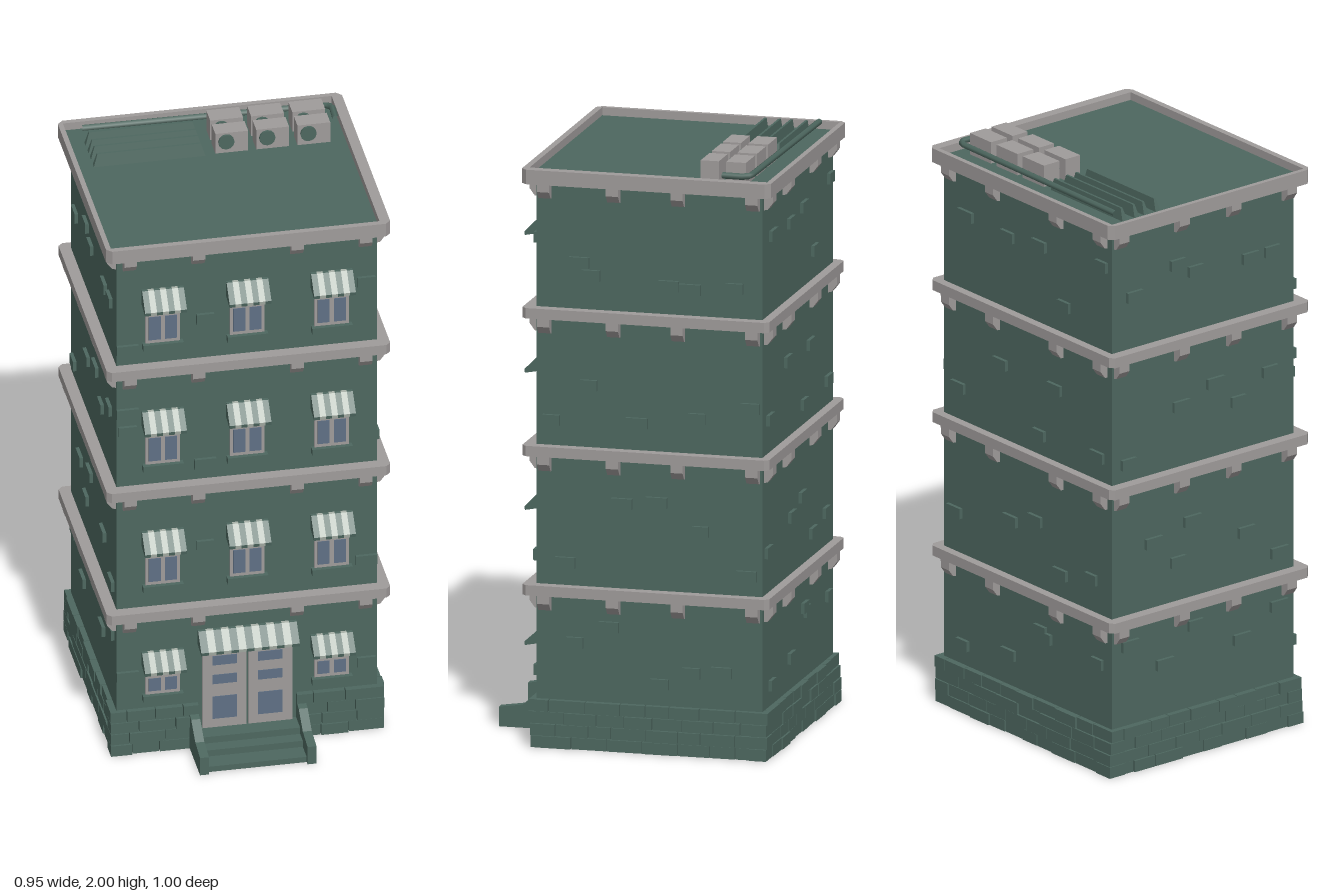
import * as THREE from 'three';

export function createModel() {
  const root = new THREE.Group();
  root.name = 'apartmentBuilding';
  const mat = (name, color) => Object.assign(new THREE.MeshStandardMaterial({ color }), { name });
  const green = mat('wallGreen', 0x4d675f);
  const grey = mat('stoneGrey', 0x9f9b9a);
  const glass = mat('windowBlue', 0x5f7085);
  const pale = mat('awningPale', 0xa9b2a9);

  let seed = 7;
  const rnd = () => (seed = (seed * 16807) % 2147483647) / 2147483647;

  const add = (parent, name, geo, m) => {
    const mesh = new THREE.Mesh(geo, m);
    mesh.name = name;
    parent.add(mesh);
    return mesh;
  };
  const box = (parent, name, m, x0, x1, y0, y1, z0, z1) => {
    const mesh = add(parent, name, new THREE.BoxGeometry(x1 - x0, y1 - y0, z1 - z0), m);
    mesh.position.set((x0 + x1) / 2, (y0 + y1) / 2, (z0 + z1) / 2);
    return mesh;
  };
  const poly = pts => new THREE.Shape(pts.map(p => new THREE.Vector2(...p)));
  // Extrude a (depth, height) profile sideways: depth becomes z, width runs along x from x0 to x1
  const prism = (parent, name, m, pts, x0, x1) => {
    const geo = new THREE.ExtrudeGeometry(poly(pts), { depth: x1 - x0, bevelEnabled: false });
    geo.rotateY(-Math.PI / 2);
    geo.translate(x1, 0, 0);
    return add(parent, name, geo, m);
  };
  // Horizontal slab from an (x, -z) outline
  const slab = (name, m, shape, y0, y1) => {
    const geo = new THREE.ExtrudeGeometry(shape, { depth: y1 - y0, bevelEnabled: false });
    geo.rotateX(-Math.PI / 2);
    geo.translate(0, y0, 0);
    return add(root, name, geo, m);
  };
  const rect = (x0, x1, z0, z1, c = 0) => [
    [x0 + c, -z1], [x1 - c, -z1], [x1, -z1 + c], [x1, -z0 - c],
    [x1 - c, -z0], [x0 + c, -z0], [x0, -z0 - c], [x0, -z1 + c]];

  const W = 0.437, D = 0.385, ZC = -0.08, FRONT = ZC + D;

  // Walls: hollow ground floor, solid upper floors
  const shell = poly([[-W, -FRONT], [W, -FRONT], [W, D - ZC], [-W, D - ZC]]);
  const hollow = new THREE.Path();
  hollow.moveTo(-W + 0.03, -FRONT + 0.03).lineTo(-W + 0.03, D - ZC - 0.03)
    .lineTo(W - 0.03, D - ZC - 0.03).lineTo(W - 0.03, -FRONT + 0.03).closePath();
  shell.holes.push(hollow);
  slab('groundFloorWalls', green, shell, 0, 0.52);
  box(root, 'upperWalls', green, -W, W, 0.52, 1.91, ZC - D, FRONT);
  box(root, 'roofDeck', green, -0.462, 0.445, 1.905, 1.925, -0.484, 0.332);

  // Floor cornices and the roof parapet
  const ledge = [1.02, 1.485, 0.55];
  ledge.forEach(y => slab('floorCornice', grey,
    poly(rect(-0.475, 0.475, -0.495, 0.347, 0.015)), y - 0.035, y));
  const parapet = poly(rect(-0.477, 0.475, -0.5, 0.349, 0.018));
  const opening = new THREE.Path();
  opening.moveTo(-0.46, -0.328).lineTo(-0.46, 0.482).lineTo(0.44, 0.482).lineTo(0.44, -0.328).closePath();
  parapet.holes.push(opening);
  slab('roofParapet', grey, parapet, 1.903, 1.952);

  // The four facades: brackets, base stones and loose bricks
  const sides = [
    ['front', 0, D, W, [-0.395, -0.165, 0.165, 0.395]],
    ['left', Math.PI / 2, W, D, [-0.355, -0.12, 0.1, 0.355]],
    ['back', Math.PI, D, W, [-0.395, -0.165, 0.165, 0.395]],
    ['right', -Math.PI / 2, W, D, [-0.355, -0.1, 0.12, 0.355]]];
  const floors = [0.19, 0.57, 1.04, 1.505];
  for (const [side, turn, dist, half, spots] of sides) {
    const face = new THREE.Group();
    face.name = side + 'Facade';
    face.position.z = ZC;
    face.rotation.y = turn;
    root.add(face);

    for (const y of [0.515, 0.985, 1.45, 1.905]) {
      for (const x of spots) {
        prism(face, 'bracket', grey,
          [[dist - 0.005, y], [dist - 0.005, y - 0.055], [dist + 0.012, y - 0.052], [dist + 0.03, y - 0.028], [dist + 0.03, y]],
          x - 0.021, x + 0.021);
      }
    }

    // Base stones in four staggered courses
    const wide = side === 'front' || side === 'back';
    const end = wide ? half + 0.022 : half - 0.002;
    for (let row = 0; row < 4; row++) {
      const y = row * 0.041;
      let x = -end;
      while (x < end - 0.001) {
        let next = x + 0.075 + rnd() * 0.05 - (x === -end && row % 2 ? 0.045 : 0);
        if (end - next < 0.05) next = end;
        const out = dist + 0.015 + rnd() * 0.009;
        let a = x, b = next - 0.003;
        if (side === 'front') {
          if (a < 0) b = Math.min(b, -0.165);
          if (b > 0) a = Math.max(a, 0.165);
        }
        if (b - a > 0.01) box(face, 'baseStone', green, a, b, y, y + 0.039, dist - 0.04, out);
        x = next;
      }
    }

    // Scattered raised bricks
    for (const y0 of floors) {
      const count = side === 'front' ? 3 : 5;
      for (let i = 0; i < count; i++) {
        const w = 0.055 + rnd() * 0.02, h = 0.036;
        let x = -half + 0.04 + (i + rnd()) / count * (2 * half - 0.08);
        if (side === 'front') x = [-0.4, 0.14, 0.4][i] * (rnd() < 0.5 && y0 > 0.5 ? -1 : 1);
        if (side === 'front' && y0 < 0.5 && i === 1) continue;
        const y = y0 + 0.02 + rnd() * 0.25;
        box(face, 'raisedBrick', green, x - w / 2, x + w / 2, y, y + h, dist - 0.01, dist + 0.012);
      }
    }
  }

  // Striped awning made of sloping wedges
  const awning = (x0, x1, top, height, count) => {
    const g = new THREE.Group();
    g.name = 'awning';
    root.add(g);
    const step = (x1 - x0) / count, low = top - height;
    for (let i = 0; i < count; i++) {
      prism(g, 'awningStripe', i % 2 ? pale : green,
        [[FRONT, top], [FRONT, low + 0.012], [FRONT + 0.063, low], [FRONT + 0.065, low + 0.012], [FRONT + 0.012, top]],
        x0 + i * step, x0 + (i + 1) * step);
    }
  };

  // Windows with panes, sills and awnings
  const addWindow = (x, bottom, top) => {
    const g = new THREE.Group();
    g.name = 'window';
    root.add(g);
    const z = FRONT + 0.008;
    box(g, 'windowFrame', grey, x - 0.058, x + 0.058, bottom, top + 0.02, FRONT - 0.005, z);
    const split = top - 0.035;
    for (const s of [-1, 1]) {
      const a = x + s * 0.027;
      box(g, 'lowerPane', glass, a - 0.02, a + 0.02, bottom + 0.018, split - 0.007, z - 0.004, z + 0.002);
      box(g, 'upperPane', glass, a - 0.02, a + 0.02, split + 0.007, top, z - 0.004, z + 0.002);
    }
    box(g, 'windowSill', green, x - 0.068, x + 0.068, bottom - 0.015, bottom + 0.006, FRONT - 0.005, FRONT + 0.023);
  };
  for (const x of [-0.283, 0, 0.283]) {
    for (const top of [0.84, 1.303, 1.768]) {
      addWindow(x, top - 0.21, top - 0.062);
      awning(x - 0.07, x + 0.07, top, 0.066, 7);
    }
    if (x) {
      addWindow(x, 0.21, 0.318);
      awning(x - 0.07, x + 0.07, 0.378, 0.06, 7);
    }
  }

  // Double entrance door
  for (const s of [-1, 1]) {
    const leaf = new THREE.Group();
    leaf.name = 'doorLeaf';
    root.add(leaf);
    const a = s < 0 ? -0.15 : 0.003, b = s < 0 ? -0.003 : 0.15;
    box(leaf, 'doorPanel', grey, a, b, 0.065, 0.39, FRONT - 0.005, FRONT + 0.012);
    for (const [y0, y1] of [[0.305, 0.34], [0.233, 0.268], [0.1, 0.185]]) {
      box(leaf, 'doorPane', glass, s * 0.076 - 0.041, s * 0.076 + 0.041, y0, y1, FRONT + 0.008, FRONT + 0.014);
    }
  }
  box(root, 'doorGap', green, -0.003, 0.003, 0.065, 0.39, FRONT - 0.005, FRONT + 0.006);
  awning(-0.165, 0.165, 0.44, 0.065, 13);

  // Entrance steps between sloping side walls
  [[0.02, 0.485], [0.043, 0.42], [0.067, 0.375]].forEach(([y, z], i) =>
    box(root, 'entranceStep', green, -0.166, 0.166, i ? y - 0.024 : 0, y, FRONT - 0.005, z));
  for (const s of [-1, 1]) {
    prism(root, 'stepSideWall', green,
      [[FRONT, 0], [0.5, 0], [0.5, 0.066], [0.42, 0.078], [0.35, 0.124], [FRONT, 0.132]],
      s * 0.18 - 0.015, s * 0.18 + 0.015);
  }

  // Rooftop cooling units with round fans
  for (const x of [0.003, 0.14, 0.278]) {
    for (const [z0, z1] of [[-0.395, -0.328], [-0.303, -0.241]]) {
      box(root, 'coolingUnit', grey, x, x + 0.11, 1.92, 2, z0, z1);
      const fan = add(root, 'coolingFan', new THREE.CylinderGeometry(0.027, 0.027, 0.012, 12), green);
      fan.rotation.x = Math.PI / 2;
      fan.position.set(x + 0.036, 1.968, z1 + 0.002);
    }
  }

  // Rooftop ducts with tapered ends, and a long bent pipe
  for (const z of [-0.383, -0.332, -0.292, -0.243]) {
    const duct = box(root, 'roofDuct', green, -0.407, -0.03, 1.92, 1.968, z - 0.011, z + 0.011);
    const p = duct.geometry.attributes.position;
    for (let i = 0; i < p.count; i++) {
      if (p.getY(i) > 0) p.setXYZ(i, p.getX(i) * 0.92, p.getY(i), p.getZ(i) * 0.35 - 0.004);
    }
    duct.geometry.computeVertexNormals();
  }
  const path = new THREE.CurvePath();
  const pts = [[-0.407, -0.426], [0.405, -0.416], [0.425, -0.395], [0.422, -0.325]]
    .map(([x, z]) => new THREE.Vector3(x, 1.962, z));
  for (let i = 0; i < 3; i++) path.add(new THREE.LineCurve3(pts[i], pts[i + 1]));
  add(root, 'roofPipe', new THREE.TubeGeometry(path, 40, 0.011, 6), green);
  return root;
}
